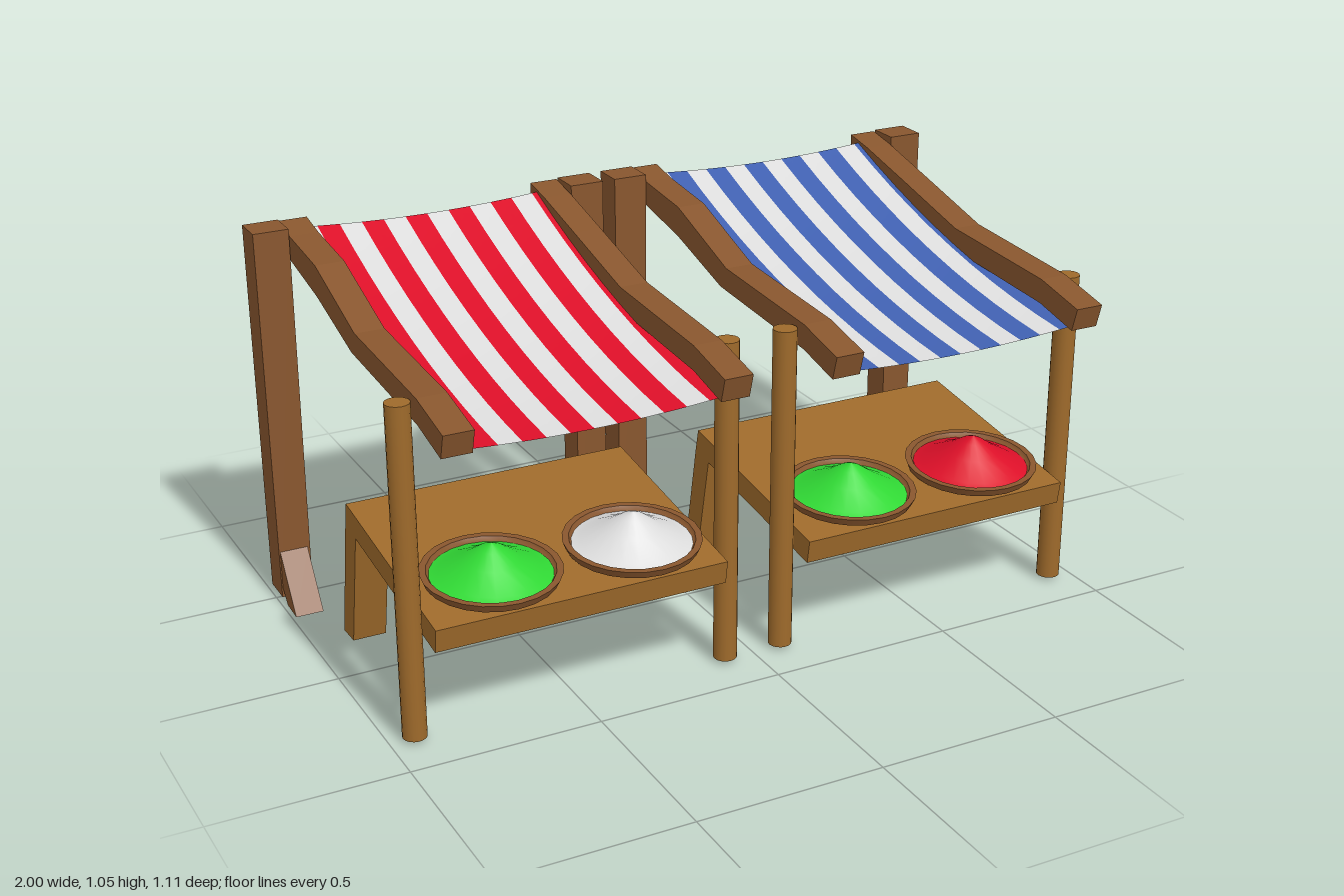
import * as THREE from 'three';

const mat = (name, color) => Object.assign(new THREE.MeshStandardMaterial({ color }), { name });
const darkWood = mat('dark wood', 0x88562e);
const lightWood = mat('light wood', 0x9e6a2b);
const red = mat('red', 0xdc0f28);
const blue = mat('blue', 0x4060b0);
const white = mat('white', 0xdcdcdc);
const green = mat('green', 0x30d834);
const clothWhite = mat('cloth white', 0xdcdcdc);
clothWhite.side = THREE.DoubleSide;
const clothRed = mat('cloth red', 0xdc0f28);
clothRed.side = THREE.DoubleSide;
const clothBlue = mat('cloth blue', 0x4060b0);
clothBlue.side = THREE.DoubleSide;

function add(group, name, geometry, material, x = 0, y = 0, z = 0) {
  const mesh = new THREE.Mesh(geometry, material);
  mesh.name = name;
  mesh.position.set(x, y, z);
  group.add(mesh);
  return mesh;
}

// Side outline given as [z, y], extruded across x and centred on x = 0
function sideProfile(points, width) {
  const shape = new THREE.Shape(points.map(([z, y]) => new THREE.Vector2(z, y)));
  const g = new THREE.ExtrudeGeometry(shape, { depth: width, bevelEnabled: false });
  g.translate(0, 0, -width / 2);
  return g.rotateY(-Math.PI / 2);
}

// Square post, a little wider at the top
function postGeometry() {
  const g = new THREE.BoxGeometry(0.086, 1.03, 0.088);
  const p = g.attributes.position;
  for (let i = 0; i < p.count; i++) {
    if (p.getY(i) > 0) p.setX(i, p.getX(i) * 1.1);
  }
  g.computeVertexNormals();
  return g;
}

// Sagging striped cloth made of narrow strips
function canopy(stripe) {
  const group = new THREE.Group();
  group.name = 'canopy';
  const w = 0.0605;
  for (let i = 0; i < 12; i++) {
    const g = new THREE.PlaneGeometry(w, 1.02, 2, 10).rotateX(-Math.PI / 2);
    g.translate((i - 5.5) * w, 0, 0);
    const p = g.attributes.position;
    for (let k = 0; k < p.count; k++) {
      const x = p.getX(k), z = p.getZ(k);
      const sag = 0.014 * Math.max(0, 1 - (x / 0.33) ** 2);
      p.setY(k, 0.875 - 0.2245 * z + 0.163 * z * z - sag);
    }
    g.computeVertexNormals();
    add(group, 'canopyStripe', g, i % 2 ? stripe : clothWhite);
  }
  return group;
}

// Shallow tray with a heap of goods
function bowl(heapMaterial) {
  const group = new THREE.Group();
  group.name = 'bowl';
  const v = (x, y) => new THREE.Vector2(x, y);
  const tray = [v(0, -0.01), v(0.168, -0.01), v(0.168, -0.01), v(0.177, 0.011),
    v(0.177, 0.011), v(0.16, 0.011), v(0.16, 0.011), v(0.152, -0.004), v(0, -0.004)];
  add(group, 'tray', new THREE.LatheGeometry(tray, 24), darkWood);
  const heap = [v(0.156, -0.002), v(0.13, 0.007), v(0.07, 0.041), v(0.03, 0.069), v(0, 0.084)];
  add(group, 'heap', new THREE.LatheGeometry(heap, 20), heapMaterial);
  group.rotation.x = 0.075;
  return group;
}

function stall(stripe, heaps) {
  const group = new THREE.Group();

  // Sloping table top with two splayed back legs
  const table = new THREE.Group();
  table.name = 'table';
  group.add(table);
  add(table, 'tableTop', sideProfile([[0.435, 0.262], [0.445, 0.325], [-0.16, 0.402],
    [-0.174, 0.339], [-0.1, 0.329]], 0.78), lightWood);

  for (const side of [-1, 1]) {
    add(table, 'tableLeg', sideProfile([[-0.1, 0.329], [-0.174, 0.339], [-0.24, 0], [-0.168, 0.003]], 0.09),
      lightWood, side * 0.345);

    add(group, 'frontPole', new THREE.CylinderGeometry(0.031, 0.031, 0.875, 16),
      lightWood, side * 0.427, 0.4475, 0.366);
    add(group, 'backPost', postGeometry(), darkWood, side * 0.443, 0.535, -0.502);
    add(group, 'postBrace', sideProfile([[-0.47, 0.17], [-0.47, 0.06], [-0.425, 0.01], [-0.355, 0.006],
      [-0.455, 0.15]], 0.076), darkWood, side * 0.445);

    // Crooked roof beam, bowed upward more on the right side
    const bow = side < 0 ? 0.025 : 0;
    add(group, 'roofBeam', sideProfile([[0.54, 0.805], [0.558, 0.868], [0.4, 0.9], [0, 0.921],
      [-0.27, 0.985 + bow], [-0.46, 1.029], [-0.55, 1.045], [-0.55, 0.98], [-0.46, 0.962],
      [-0.27, 0.918 + bow * 0.4], [-0.03, 0.862], [0.4, 0.835]], 0.077), darkWood, side * 0.355);
  }

  group.add(canopy(stripe));

  heaps.forEach((material, i) => {
    const b = bowl(material);
    b.position.set(i ? 0.2 : -0.182, 0.361, 0.292);
    group.add(b);
  });
  return group;
}

export function createModel() {
  const model = new THREE.Group();
  model.name = 'marketStalls';
  const redStall = stall(clothRed, [green, white]);
  redStall.name = 'redStall';
  redStall.position.x = -0.509;
  const blueStall = stall(clothBlue, [green, red]);
  blueStall.name = 'blueStall';
  blueStall.position.x = 0.507;
  model.add(redStall, blueStall);
  return model;
}
